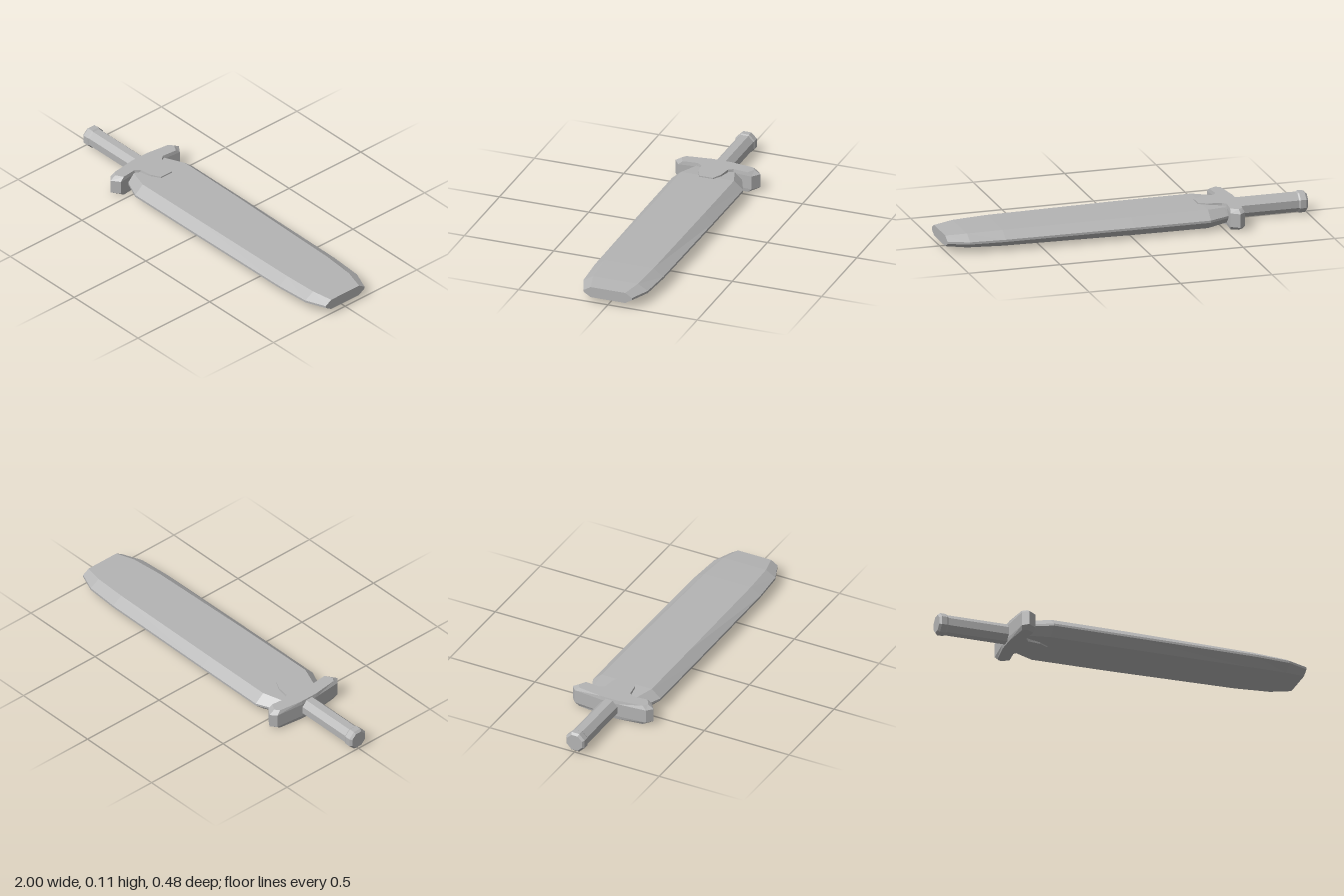
import * as THREE from 'three';

const CY = 0.0565; // height of the sword's centre line

// Joins closed 2D outlines placed at the given positions, with flat end caps.
// place(u, v, w) must be a right-handed mapping into x, y, z.
function loft(outlines, positions, place) {
  const rings = outlines.map((o) => {
    const pts = o.map(([u, v]) => new THREE.Vector2(u, v));
    return THREE.ShapeUtils.isClockWise(pts) ? pts.reverse() : pts;
  });
  const out = [];
  const put = (k, i) => out.push(...place(rings[k][i].x, rings[k][i].y, positions[k]));
  const n = rings[0].length;
  for (let k = 0; k < rings.length - 1; k++) {
    for (let i = 0; i < n; i++) {
      const j = (i + 1) % n;
      put(k, i); put(k, j); put(k + 1, j);
      put(k, i); put(k + 1, j); put(k + 1, i);
    }
  }
  const last = rings.length - 1;
  for (const [a, b, c] of THREE.ShapeUtils.triangulateShape(rings[0], [])) {
    put(0, a); put(0, c); put(0, b);
  }
  for (const [a, b, c] of THREE.ShapeUtils.triangulateShape(rings[last], [])) {
    put(last, a); put(last, b); put(last, c);
  }
  const geo = new THREE.BufferGeometry();
  geo.setAttribute('position', new THREE.Float32BufferAttribute(out, 3));
  geo.computeVertexNormals();
  return geo;
}

// Mirrors a half outline of [x, z] points and returns [z, x] pairs
function mirrorOutline(half) {
  return [
    ...half.map(([x, z]) => [z, x]),
    ...[...half].reverse().map(([x, z]) => [-z, x]),
  ];
}

// Eight-sided bar along x from [x, apothem] steps
function octagonBar(steps) {
  const outlines = steps.map(([, r]) => Array.from({ length: 8 }, (_, i) => {
    const a = (i + 0.5) * Math.PI / 4;
    const R = r / Math.cos(Math.PI / 8);
    return [R * Math.cos(a), R * Math.sin(a)];
  }));
  return loft(outlines, steps.map((s) => s[0]), (u, v, w) => [w, u + CY, v]);
}

export function createModel() {
  const group = new THREE.Group();
  const grey = new THREE.MeshStandardMaterial({ color: 0xb4b4b4, flatShading: true });
  grey.name = 'plain grey';

  const add = (name, geo) => {
    const mesh = new THREE.Mesh(geo, grey);
    mesh.name = name;
    group.add(mesh);
  };

  // Blade: x, half width of the flat, half thickness, half width at the edge
  const sections = [
    [-0.55, 0.105, 0.040, 0.14],
    [-0.52, 0.112, 0.043, 0.155],
    [-0.42, 0.148, 0.050, 0.199],
    [0.0, 0.146, 0.049, 0.198],
    [0.7, 0.137, 0.043, 0.193],
    [0.89, 0.125, 0.038, 0.18],
    [1.0, 0.097, 0.029, 0.135],
  ];
  const edge = 0.006;
  add('blade', loft(
    sections.map(([, f, h, e]) => [
      [h, -f], [h, f], [edge, e], [-edge, e],
      [-h, f], [-h, -f], [-edge, -e], [edge, -e],
    ]),
    sections.map((s) => s[0]),
    (u, v, w) => [w, u + CY, v],
  ));

  // Crossguard with a tongue over the blade; the faces are set in at the ends
  const face = mirrorOutline([
    [-0.4, 0.038], [-0.45, 0.064], [-0.52, 0.074], [-0.538, 0.1],
    [-0.53, 0.182], [-0.57, 0.205], [-0.595, 0.187], [-0.613, 0.05],
  ]);
  const rim = mirrorOutline([
    [-0.4, 0.04], [-0.45, 0.066], [-0.52, 0.077], [-0.535, 0.1],
    [-0.525, 0.205], [-0.57, 0.238], [-0.602, 0.21], [-0.617, 0.05],
  ]);
  add('crossguard', loft(
    [face, rim, rim, face],
    [0, CY - 0.037, CY + 0.037, 2 * CY],
    (u, v, w) => [v, w, u],
  ));

  // Grip and pommel
  add('grip', octagonBar([[-0.96, 0.049], [-0.58, 0.049]]));
  add('pommel', octagonBar([[-1, 0.044], [-0.988, 0.054], [-0.957, 0.054], [-0.945, 0.046]]));

  return group;
}
